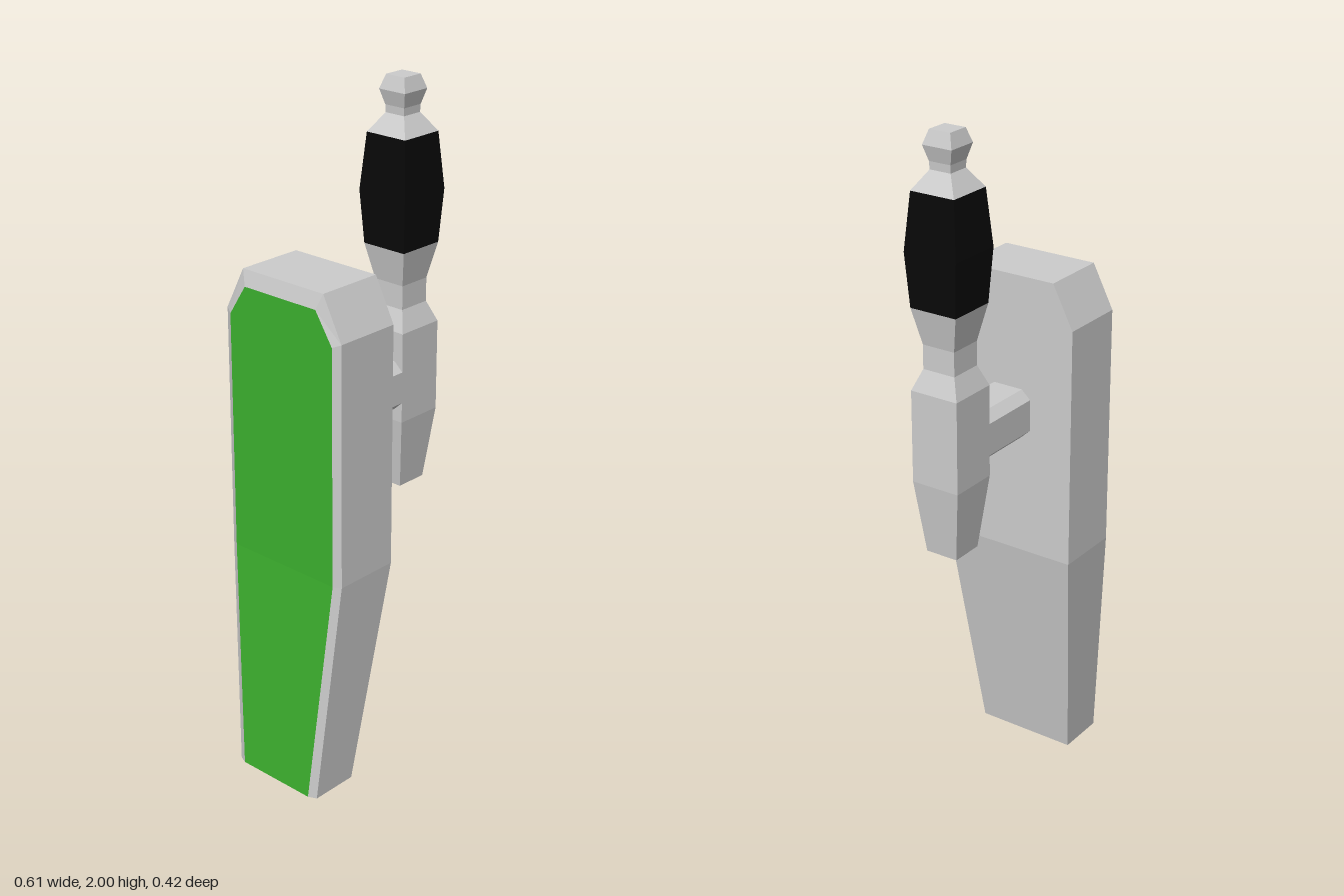
import * as THREE from 'three';

const grey = new THREE.MeshStandardMaterial({ color: 0xcccccc, flatShading: true });
const black = new THREE.MeshStandardMaterial({ color: 0x080808, flatShading: true });
const green = new THREE.MeshStandardMaterial({ color: 0x3cb02e, flatShading: true });

// Geometry from four-cornered faces
function quads(list) {
  const pos = [];
  for (const [a, b, c, d] of list) pos.push(...a, ...b, ...c, ...a, ...c, ...d);
  const g = new THREE.BufferGeometry();
  g.setAttribute('position', new THREE.Float32BufferAttribute(pos, 3));
  g.computeVertexNormals();
  return g;
}

// Rows of [x, y, half depth] become a closed symmetric outline: up at +z, down at -z
const outline = rows => [
  ...rows.map(([x, y, z]) => [x, y, z]),
  ...[...rows].reverse().map(([x, y, z]) => [x, y, -z]),
];

// Faces filling an outline row by row, seen from +x
const cap = rows => rows.slice(1).map(([x1, y1, z1], i) => {
  const [x0, y0, z0] = rows[i];
  return [[x0, y0, z0], [x0, y0, -z0], [x1, y1, -z1], [x1, y1, z1]];
});

// Faces joining two outlines
function band(rowsA, rowsB) {
  const a = outline(rowsA), b = outline(rowsB);
  return a.map((p, i) => {
    const j = (i + 1) % a.length;
    return [p, a[j], b[j], b[i]];
  });
}

// Square turned profile of [half width, y] points
function squareTurned(profile) {
  const pts = profile.map(([w, y]) => new THREE.Vector2(w * Math.SQRT2, y));
  const g = new THREE.LatheGeometry(pts, 4, Math.PI / 4).toNonIndexed();
  g.computeVertexNormals();
  return g;
}

export function createModel() {
  const model = new THREE.Group();
  const add = (name, geometry, material, parent = model) => {
    const mesh = new THREE.Mesh(geometry, material);
    mesh.name = name;
    parent.add(mesh);
    return mesh;
  };

  // Arm pad: inner face, rim and bevelled outer panel
  const inner = [[-0.15, 0, 0.155], [-0.047, 0.695, 0.211], [-0.047, 1.41, 0.211], [-0.047, 1.535, 0.147]];
  const rim = [[-0.297, 0, 0.155], [-0.25, 0.695, 0.211], [-0.25, 1.41, 0.211], [-0.25, 1.535, 0.147]];
  const panel = [[-0.308, 0, 0.13], [-0.262, 0.695, 0.188], [-0.262, 1.4, 0.188], [-0.262, 1.49, 0.13]];
  add('armPad', quads([...cap(inner), ...band(inner, rim), ...band(rim, panel)]), grey);
  add('outerPanel', quads(cap(panel).map(f => f.reverse())), green);

  // Crossbar with chamfered edges
  const w = 0.075, h = 0.073, cw = 0.047, ch = 0.047;
  const section = new THREE.Shape([
    [w, -ch], [w, ch], [cw, h], [-cw, h], [-w, ch], [-w, -ch], [-cw, -h], [cw, -h],
  ].map(p => new THREE.Vector2(...p)));
  const bar = add('crossbar', new THREE.ExtrudeGeometry(section, { depth: 0.22, bevelEnabled: false }), grey);
  bar.rotation.y = Math.PI / 2;
  bar.position.set(-0.05, 1.128, 0);

  // Upright grip
  const grip = new THREE.Group();
  grip.name = 'grip';
  grip.position.x = 0.223;
  model.add(grip);
  add('handle', squareTurned([
    [0, 0.803], [0.05, 0.803], [0.075, 1.02], [0.075, 1.29], [0.051, 1.35], [0.051, 1.42], [0.073, 1.525],
  ]), grey, grip);
  add('blackSleeve', squareTurned([[0.073, 1.525], [0.083, 1.68], [0.069, 1.842]]), black, grip);
  add('knob', squareTurned([
    [0.069, 1.842], [0.033, 1.895], [0.034, 1.917], [0.046, 1.96], [0.033, 2], [0, 2],
  ]), grey, grip);

  return model;
}
